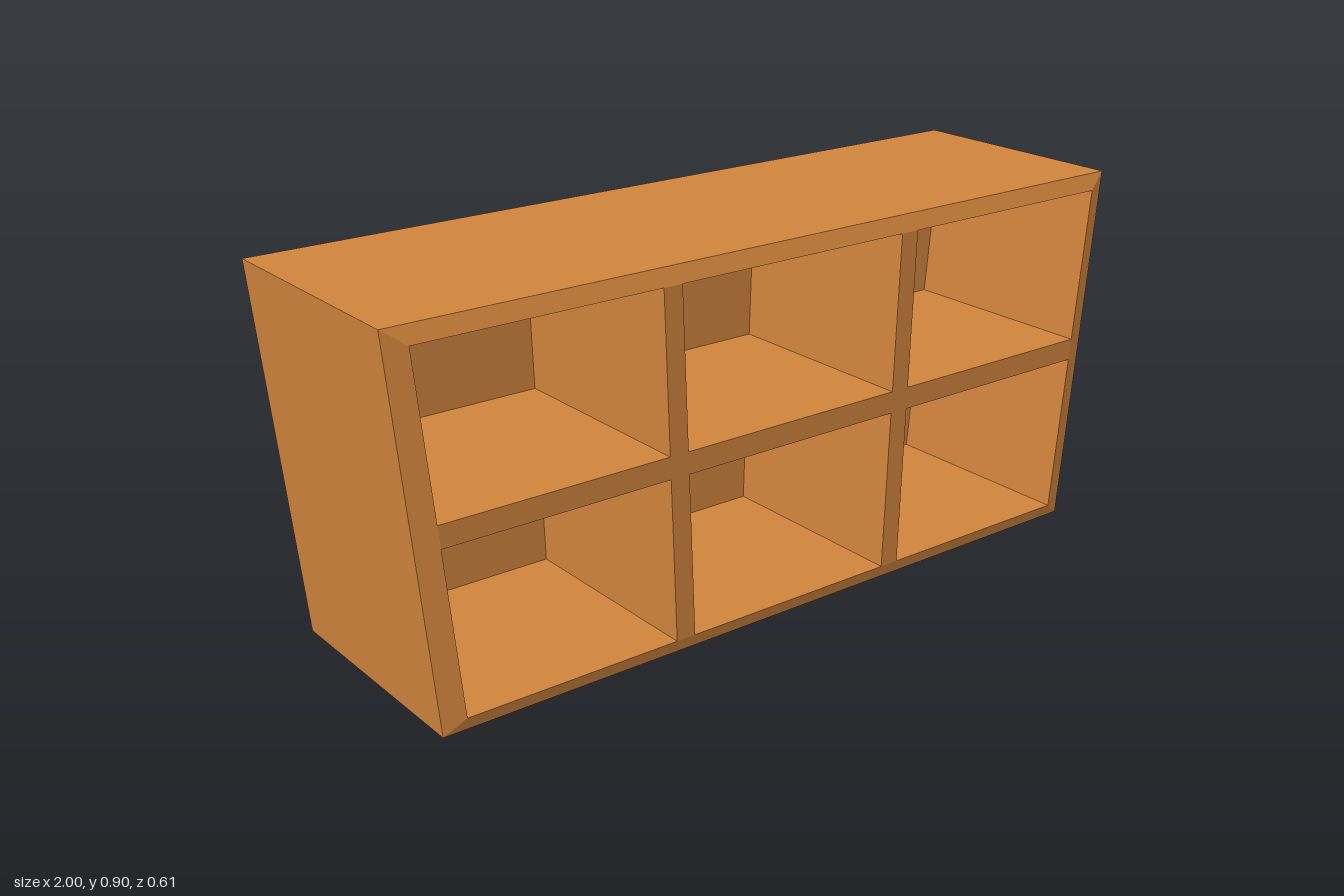
import * as THREE from 'three';

const HEIGHT = 0.896, BACK = -0.303, FRONT = 0.303, RIM = 0.285, RECESS = -0.225;
const Y0 = 0.037, SHELF_LOW = 0.428, SHELF_HIGH = 0.481, Y1 = 0.858;

// x of an edge that leans outward from the bottom of the opening to its top
const lean = (bottom, top) => (y) => bottom + (top - bottom) * (y - Y0) / (Y1 - Y0);
const openingX = lean(0.866, 0.947);
const uprightIn = lean(0.281, 0.31);
const uprightOut = lean(0.331, 0.358);

// trapezoid loop, counter-clockwise seen from the front
const trapezoid = (wBottom, wTop, y0, y1, z) => [
  [-wBottom, y0, z], [wBottom, y0, z], [wTop, y1, z], [-wTop, y1, z],
];

// flat-faced skin through four-cornered loops, closed at both ends
function loft(loops) {
  const pos = [];
  const quad = (a, b, c, d) => pos.push(...a, ...b, ...c, ...a, ...c, ...d);
  for (let k = 0; k < loops.length - 1; k++) {
    for (let i = 0; i < 4; i++) {
      const j = (i + 1) % 4;
      quad(loops[k][i], loops[k][j], loops[k + 1][j], loops[k + 1][i]);
    }
  }
  const first = loops[0];
  quad(first[3], first[2], first[1], first[0]);
  quad(...loops[loops.length - 1]);
  const geometry = new THREE.BufferGeometry();
  geometry.setAttribute('position', new THREE.Float32BufferAttribute(pos, 3));
  geometry.computeVertexNormals();
  return geometry;
}

export function createModel() {
  const group = new THREE.Group();
  group.name = 'cubbyCabinet';
  const wood = new THREE.MeshStandardMaterial({ color: 0xcf833c });
  wood.name = 'warm wood';

  const add = (name, geometry) => {
    const mesh = new THREE.Mesh(geometry, wood);
    mesh.name = name;
    group.add(mesh);
  };

  // Tapered shell: outer sides, bevelled front rim, inner walls and recessed back
  const opening = (z) => trapezoid(openingX(Y0), openingX(Y1), Y0, Y1, z);
  add('shell', loft([
    trapezoid(0.915, 1, 0, HEIGHT, BACK),
    trapezoid(0.915, 1, 0, HEIGHT, RIM),
    opening(FRONT),
    opening(RECESS),
  ]));

  // Shelf across the middle
  const shelf = (z) => trapezoid(openingX(SHELF_LOW), openingX(SHELF_HIGH), SHELF_LOW, SHELF_HIGH, z);
  add('shelf', loft([shelf(RECESS), shelf(FRONT)]));

  // Leaning uprights, one pair per row
  for (const [row, y0, y1] of [['lower', Y0, SHELF_LOW], ['upper', SHELF_HIGH, Y1]]) {
    for (const side of [-1, 1]) {
      const [l, r] = side > 0 ? [uprightIn, uprightOut] : [uprightOut, uprightIn];
      const loop = (z) => [
        [side * l(y0), y0, z], [side * r(y0), y0, z],
        [side * r(y1), y1, z], [side * l(y1), y1, z],
      ];
      add(row + (side > 0 ? 'LeftUpright' : 'RightUpright'), loft([loop(RECESS), loop(FRONT)]));
    }
  }
  return group;
}
